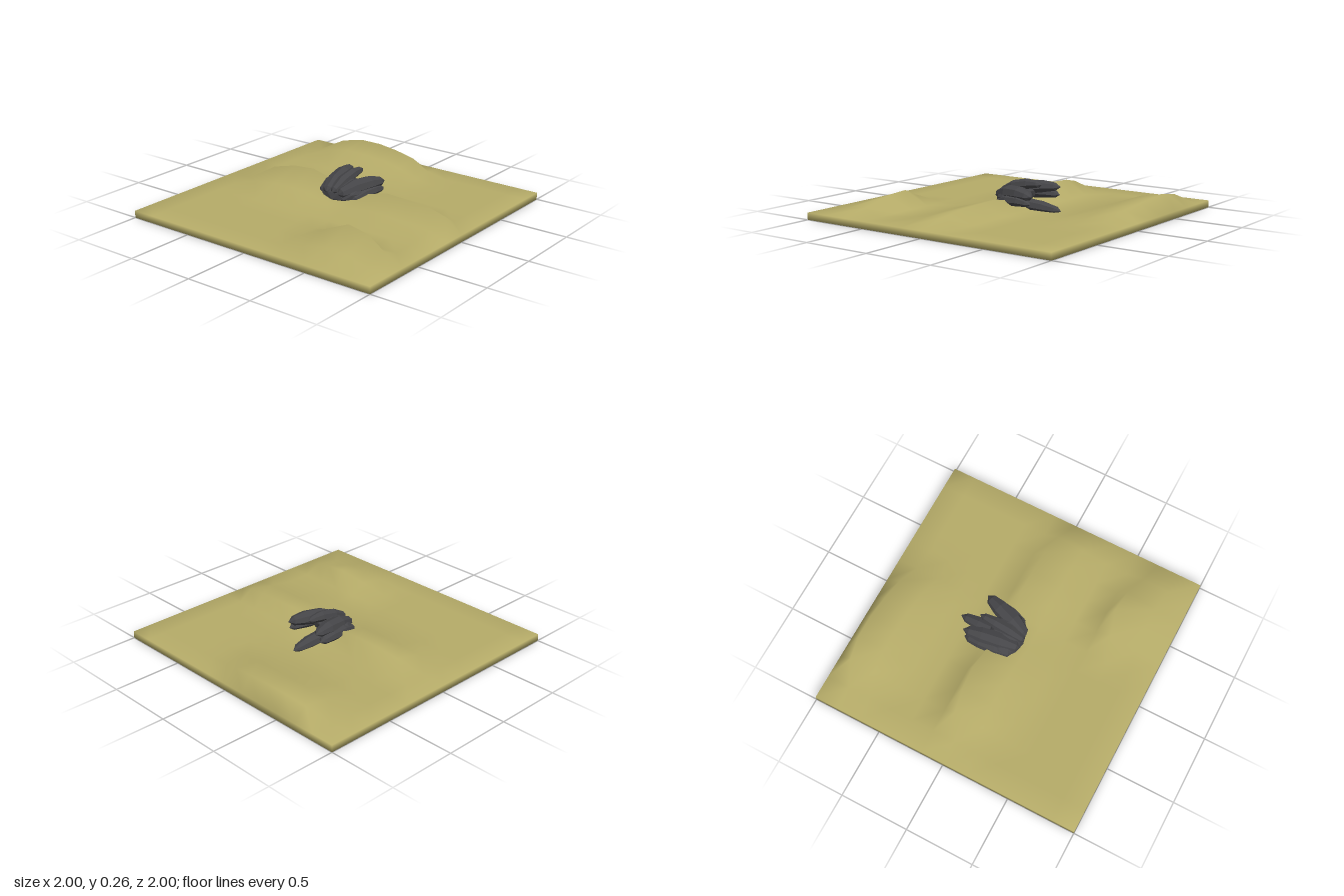
import * as THREE from 'three';
import { mergeVertices } from 'three/addons/utils/BufferGeometryUtils.js';

const sand = new THREE.MeshStandardMaterial({ color: 0xb5ab68 });
const stone = new THREE.MeshStandardMaterial({ color: 0x454548, flatShading: true });

const CELL = 1 / 6, BASE = 0.05, LEAN = 0.85;

// Dunes: grid column of the crest, first grid row, crest heights by row,
// and how high the windward column beside it stands
const dunes = [
  { col: -4, row: 2, crest: [0.07, 0.13, 0.11, 0.05], windward: 0.38 },
  { col: 0, row: -4, crest: [0.095, 0.13, 0.14, 0.115, 0.07, 0.075, 0.11, 0.105, 0.1, 0.07], windward: 0.45 },
  { col: 5, row: -4, crest: [0.085, 0.115, 0.115, 0.1, 0.075, 0.02], windward: 0.7 },
];

function duneHeight(col, row) {
  let h = 0;
  for (const d of dunes) {
    const crest = d.crest[row - d.row] ?? 0;
    if (col === d.col) h = Math.max(h, crest);
    if (col === d.col - 1) h = Math.max(h, crest * d.windward);
  }
  return h;
}

// Slab whose top vertices rise into dunes and lean over to +x
function sandGeometry() {
  let geo = new THREE.BoxGeometry(2, BASE, 2, 12, 1, 12);
  geo.deleteAttribute('normal');
  geo.deleteAttribute('uv');
  geo = mergeVertices(geo, 1e-4);
  geo.translate(0, BASE / 2, 0);
  const p = geo.attributes.position;
  for (let i = 0; i < p.count; i++) {
    if (p.getY(i) < BASE / 2) continue;
    const h = duneHeight(Math.round(p.getX(i) / CELL), Math.round(p.getZ(i) / CELL));
    p.setXYZ(i, p.getX(i) + LEAN * h, BASE + h, p.getZ(i));
  }
  geo.computeVertexNormals();
  return geo;
}

// Faceted long stone from a to b, slightly bent upward in the middle
function fingerStone(name, a, b, radius, flat = 0.8, bend = 0.02) {
  const start = new THREE.Vector3(...a), end = new THREE.Vector3(...b);
  const len = start.distanceTo(end);
  const profile = [[0, 0], [0.65, 0.06], [1, 0.35], [0.92, 0.68], [0.62, 0.9], [0, 1]]
    .map(([r, t]) => new THREE.Vector2(r * radius, t * len));
  const geo = new THREE.LatheGeometry(profile, 7);
  geo.scale(1, 1, flat);
  const p = geo.attributes.position;
  for (let i = 0; i < p.count; i++) {
    p.setZ(i, p.getZ(i) + bend * Math.sin(Math.PI * p.getY(i) / len));
  }
  // local y runs along the stone, local z points up
  const dir = end.clone().sub(start).normalize();
  const side = dir.clone().cross(new THREE.Vector3(0, 1, 0)).normalize();
  const up = side.clone().cross(dir);
  geo.applyMatrix4(new THREE.Matrix4().makeBasis(side, dir, up).setPosition(start));
  geo.computeVertexNormals();
  const mesh = new THREE.Mesh(geo, stone);
  mesh.name = name;
  return mesh;
}

export function createModel() {
  const model = new THREE.Group();
  model.name = 'rocksInDunes';

  const ground = new THREE.Mesh(sandGeometry(), sand);
  ground.name = 'sandDunes';
  model.add(ground);

  const rocks = new THREE.Group();
  rocks.name = 'rockCluster';
  model.add(rocks);

  // Rounded mass joining the stones
  const core = new THREE.Mesh(new THREE.IcosahedronGeometry(1, 1), stone);
  core.name = 'rockCore';
  core.scale.set(0.13, 0.075, 0.17);
  core.rotation.z = 0.3;
  core.position.set(0.03, 0.135, 0);
  rocks.add(core);

  rocks.add(
    fingerStone('lowerStone', [-0.05, 0.08, 0], [0.4, 0.06, 0], 0.055, 0.8, 0.01),
    fingerStone('topStone', [-0.1, 0.15, 0.01], [0.25, 0.23, 0.01], 0.045, 0.9, 0.025),
    fingerStone('leftStone', [-0.09, 0.14, 0.05], [0.28, 0.17, 0.18], 0.065),
    fingerStone('rightStone', [-0.09, 0.14, -0.05], [0.31, 0.2, -0.13], 0.06),
    fingerStone('leftLowStone', [-0.04, 0.1, 0.13], [0.27, 0.12, 0.18], 0.05),
    fingerStone('rightLowStone', [-0.06, 0.12, -0.11], [0.29, 0.14, -0.15], 0.055),
  );
  return model;
}
